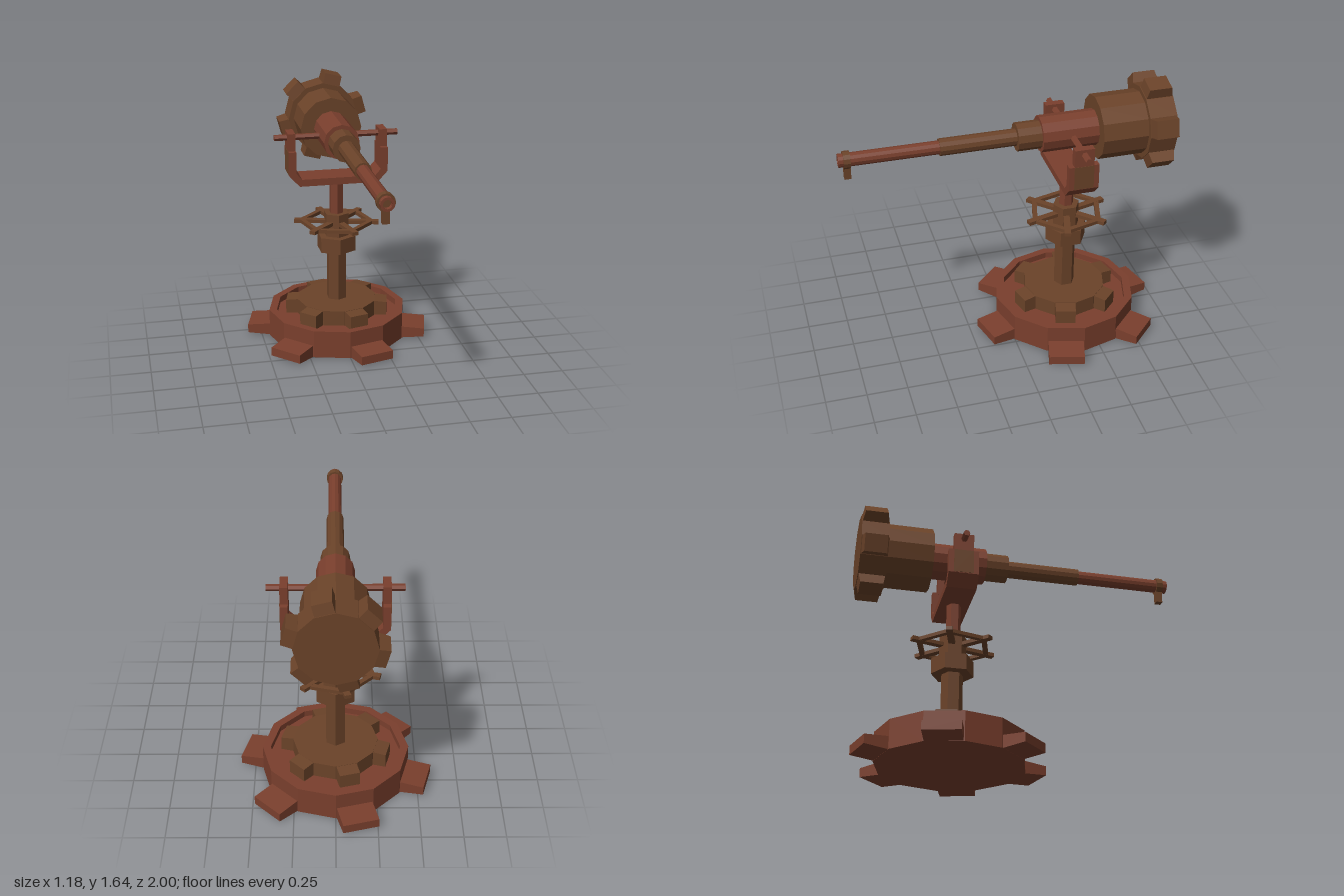
import * as THREE from 'three';

const brown = new THREE.MeshStandardMaterial({ color: 0x6b4329, flatShading: true });
const red = new THREE.MeshStandardMaterial({ color: 0x7a3f2d, flatShading: true });

const CENTRE_Z = -0.39; // vertical axis of the stand
const AXIS_Y = 1.345;   // height of the barrel axis

function add(parent, name, geometry, material, x = 0, y = 0, z = 0) {
  const mesh = new THREE.Mesh(geometry, material);
  mesh.name = name;
  mesh.position.set(x, y, z);
  parent.add(mesh);
  return mesh;
}

// upright prism between two heights
function prism(parent, name, r, y0, y1, sides, material) {
  return add(parent, name, new THREE.CylinderGeometry(r, r, y1 - y0, sides), material, 0, (y0 + y1) / 2);
}

function lathe(points, sides = 12) {
  return new THREE.LatheGeometry(points.map(([r, y]) => new THREE.Vector2(r, y)), sides);
}

function polygon(points) {
  return new THREE.Shape(points.map(([x, y]) => new THREE.Vector2(x, y)));
}

// six radial teeth, slightly tapered towards their tips
function addTeeth(parent, name, inner, outer, width, y0, y1, taper, material) {
  const profile = polygon([[inner, y0], [outer, y0 + taper], [outer, y1 - taper], [inner, y1]]);
  const geometry = new THREE.ExtrudeGeometry(profile, { depth: width, bevelEnabled: false });
  geometry.translate(0, 0, -width / 2);
  for (let i = 0; i < 6; i++) {
    add(parent, name, geometry, material).rotation.y = Math.PI / 4 + i * Math.PI / 3;
  }
}

function createStand() {
  const stand = new THREE.Group();
  stand.name = 'stand';
  stand.position.z = CENTRE_Z;

  // base with a raised rim and six feet
  add(stand, 'baseRing', lathe([[0, 0], [0.45, 0], [0.45, 0.18], [0.4, 0.18], [0.4, 0.14], [0, 0.14]]), red);
  addTeeth(stand, 'foot', 0.42, 0.58, 0.22, 0, 0.08, 0.012, red);

  // toothed plate on the base
  prism(stand, 'basePlate', 0.26, 0.13, 0.24, 12, brown);
  addTeeth(stand, 'basePlateTooth', 0.23, 0.33, 0.125, 0.13, 0.24, 0.01, brown);

  // hexagonal column
  prism(stand, 'column', 0.066, 0.23, 0.59, 6, brown);
  prism(stand, 'columnCollar', 0.13, 0.58, 0.68, 6, brown);
  prism(stand, 'columnHead', 0.083, 0.67, 0.83, 6, brown);
  prism(stand, 'swivelPost', 0.045, 0.82, 1.06, 6, red);

  // handwheel: six spokes joined by straight rim bars
  const wheel = new THREE.Group();
  wheel.name = 'handwheel';
  wheel.position.y = 0.768;
  stand.add(wheel);
  const rimRadius = 0.225;
  const spoke = new THREE.BoxGeometry(0.235, 0.023, 0.04).translate(0.155, 0, 0);
  const bar = new THREE.BoxGeometry(0.03, 0.022, rimRadius).translate(rimRadius * Math.cos(Math.PI / 6), 0, 0);
  for (let i = 0; i < 6; i++) {
    const angle = Math.PI / 4 + i * Math.PI / 3;
    add(wheel, 'spoke', spoke, brown).rotation.y = angle;
    add(wheel, 'rimBar', bar, brown).rotation.y = angle + Math.PI / 6;
  }

  // U-shaped yoke with chamfered corners
  const yoke = polygon([
    [-0.315, 1.27], [-0.315, 1.115], [-0.25, 1.045], [0.25, 1.045], [0.315, 1.115], [0.315, 1.27],
    [0.27, 1.27], [0.27, 1.13], [0.235, 1.09], [-0.235, 1.09], [-0.27, 1.13], [-0.27, 1.27],
  ]);
  const yokeGeometry = new THREE.ExtrudeGeometry(yoke, { depth: 0.184, bevelEnabled: false });
  add(stand, 'yoke', yokeGeometry.translate(0, 0, -0.092), red);
  for (const side of [-1, 1]) {
    add(stand, 'yokeBearing', new THREE.BoxGeometry(0.047, 0.12, 0.12), red, side * 0.2925, 1.32);
    add(stand, 'yokePlate', new THREE.BoxGeometry(0.006, 0.15, 0.12), brown, side * 0.315, 1.194);
  }

  // tilting axle
  const axle = new THREE.CylinderGeometry(0.02, 0.02, 0.79, 6).rotateZ(Math.PI / 2);
  add(stand, 'axle', axle, red, 0, AXIS_Y, 0);
  return stand;
}

function createGun() {
  const gun = new THREE.Group();
  gun.name = 'gun';
  gun.position.y = AXIS_Y;

  // stepped tubes from rear to muzzle: name, radius, rear z, front z, material
  const tubes = [
    ['drum', 0.198, -0.84, -0.55, brown],
    ['receiver', 0.112, -0.56, -0.205, red],
    ['barrelSocket', 0.087, -0.21, -0.06, brown],
    ['barrelSleeve', 0.052, -0.07, 0.405, brown],
    ['muzzleCollar', 0.053, 0.93, 0.97, brown],
  ];
  for (const [name, r, z0, z1, material] of tubes) {
    const geometry = new THREE.CylinderGeometry(r, r, z1 - z0, 12).rotateX(Math.PI / 2);
    add(gun, name, geometry, material, 0, 0, (z0 + z1) / 2);
  }

  // barrel with a hollow muzzle
  const barrel = lathe([[0, 0.39], [0.041, 0.39], [0.041, 1], [0.026, 1], [0.026, 0.94], [0, 0.94]]);
  add(gun, 'barrel', barrel.rotateX(Math.PI / 2), red);

  // sight under the muzzle
  add(gun, 'sight', new THREE.BoxGeometry(0.04, 0.08, 0.04), brown, 0, -0.08, 0.95);

  // toothed wheel at the rear
  const rearWheel = new THREE.Group();
  rearWheel.name = 'rearWheel';
  rearWheel.position.z = -0.83;
  rearWheel.rotation.x = -Math.PI / 2;
  gun.add(rearWheel);
  prism(rearWheel, 'rearDisc', 0.23, 0, 0.17, 12, brown);
  addTeeth(rearWheel, 'rearTooth', 0.2, 0.288, 0.112, 0, 0.17, 0.016, brown);
  return gun;
}

export function createModel() {
  const model = new THREE.Group();
  model.name = 'mountedGun';
  model.add(createStand(), createGun());
  return model;
}
